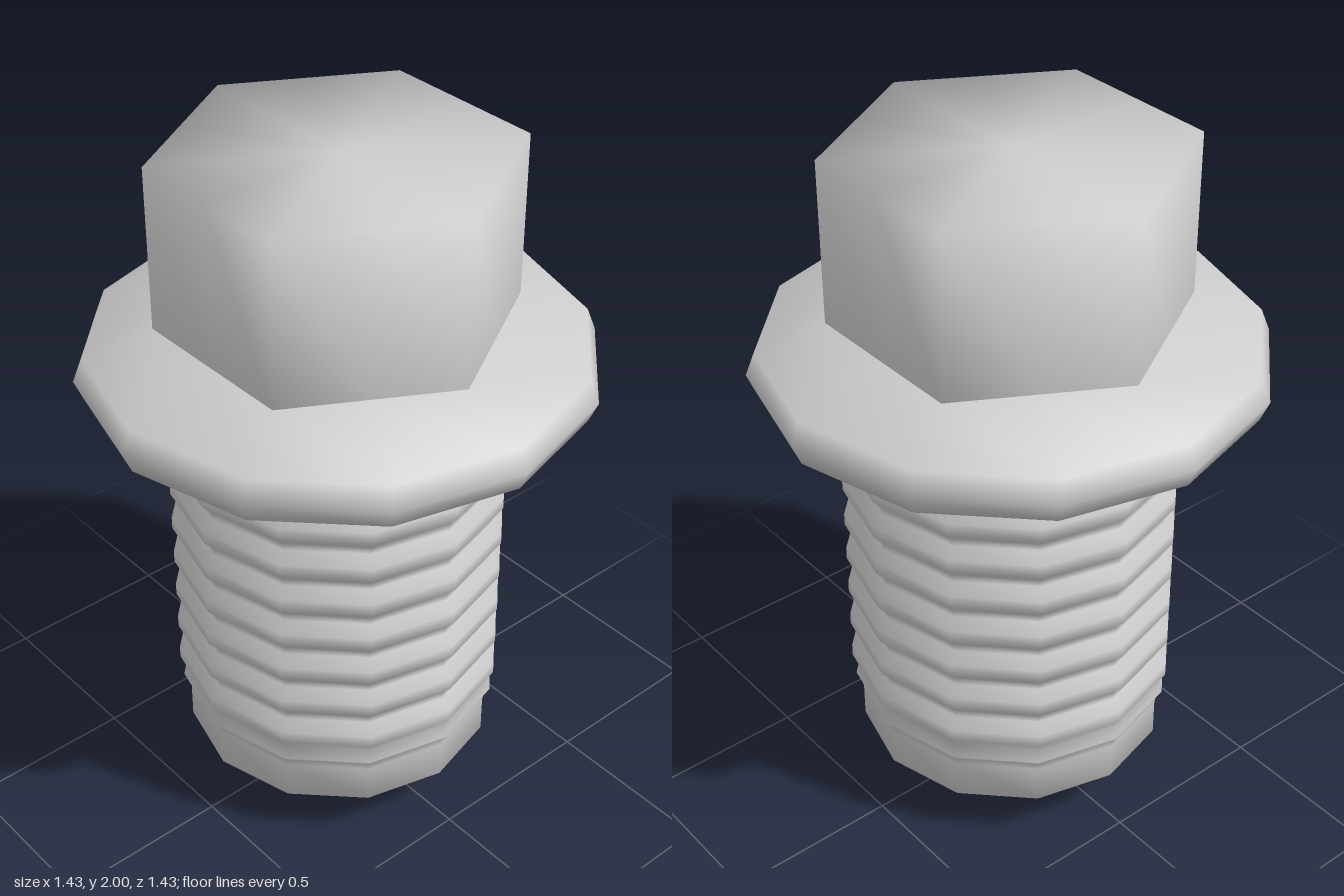
import * as THREE from 'three';
import { mergeVertices } from 'three/addons/utils/BufferGeometryUtils.js';

const SIDES = 12;
const material = new THREE.MeshStandardMaterial({ color: 0xcccccc });

// Revolve a [radius, height] profile (bottom to top), let a rule move the
// vertices, then weld so the normals are smooth all round.
function turned(name, profile, rule) {
  const points = profile.map(([r, y]) => new THREE.Vector2(r, y));
  const geometry = new THREE.LatheGeometry(points, SIDES);
  geometry.deleteAttribute('uv');
  geometry.deleteAttribute('normal');
  const position = geometry.attributes.position;
  const v = new THREE.Vector3();
  if (rule) {
    for (let i = 0; i < position.count; i++) {
      v.fromBufferAttribute(position, i);
      const side = Math.floor(i / profile.length) % SIDES;
      rule(v, side, i % profile.length);
      position.setXYZ(i, v.x, v.y, v.z);
    }
  }
  const welded = mergeVertices(geometry, 1e-4);
  welded.computeVertexNormals();
  const mesh = new THREE.Mesh(welded, material);
  mesh.name = name;
  return mesh;
}

// Pull every second vertex in to the middle of a hexagon's side
function hexagon(v, side) {
  if (side % 2 === 0) {
    v.x *= Math.cos(Math.PI / 6);
    v.z *= Math.cos(Math.PI / 6);
  }
}

export function createModel() {
  const bolt = new THREE.Group();
  bolt.name = 'flangeBolt';

  // Hexagonal head with a flat top
  bolt.add(turned('head', [[0.497, 1.53], [0.497, 2], [0, 2]], hexagon));

  // Flange, whose top edge meets the hexagon
  const flange = [
    [0.44, 1.19], [0.465, 1.24], [0.5, 1.285], [0.69, 1.33],
    [0.715, 1.39], [0.69, 1.455], [0.497, 1.53],
  ];
  bolt.add(turned('flange', flange, (v, side, ring) => {
    if (ring === flange.length - 1) hexagon(v, side);
  }));

  // Shank: rounded tip, small starting ridge, then evenly spaced thread rings
  const shank = [
    [0, 0], [0.33, 0.042], [0.45, 0.155], [0.45, 0.27],
    [0.455, 0.295], [0.47, 0.315], [0.45, 0.34],
  ];
  for (let i = 0; i < 7; i++) {
    const y = 0.385 + i * 0.1205;
    shank.push([0.478, y], [0.478, y + 0.037], [0.45, y + 0.068], [0.45, y + 0.09]);
  }
  shank.push([0.44, 1.19]);
  bolt.add(turned('threadedShank', shank, (v, side, ring) => {
    // The tip is slightly fuller at its left and right corners
    if (ring === 1 && side % 6 === 3) {
      v.x *= 1.12;
      v.y = 0.07;
    }
  }));

  return bolt;
}
